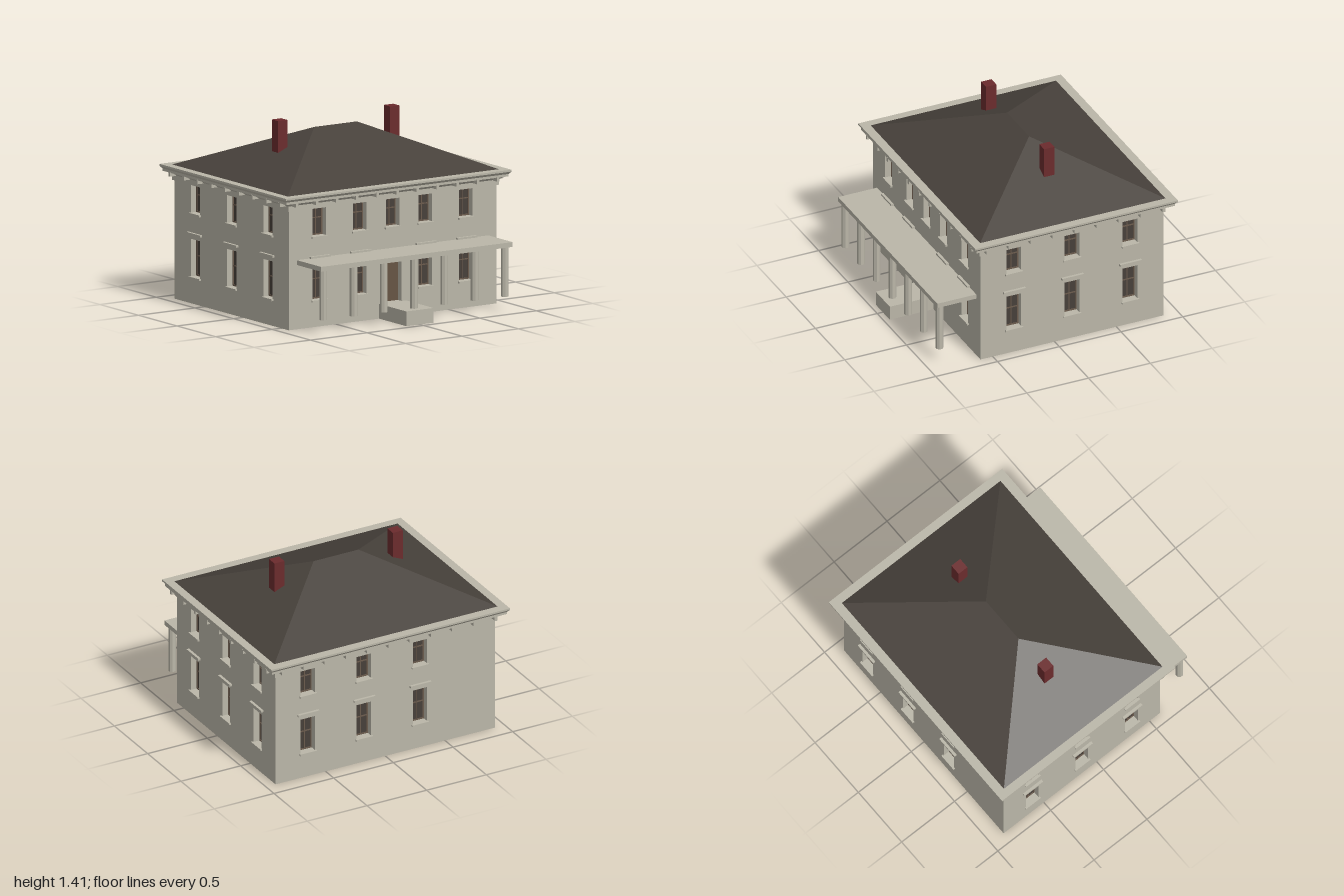
import * as THREE from 'three';

const material = (name, color, side = THREE.FrontSide) => {
  const m = new THREE.MeshStandardMaterial({ color, side });
  m.name = name;
  return m;
};

export function createModel() {
  const stone = material('pale stone', 0xbab6a8, THREE.DoubleSide);
  const slate = material('dark slate', 0x47413b, THREE.DoubleSide);
  const brick = material('red brick', 0x6b2b2d);
  const wood = material('brown door', 0x665443);
  const sash = material('window sash', 0x6a5a4c);
  const glass = material('dark glass', 0x47403a);

  const house = new THREE.Group();
  house.name = 'house';
  const HX = 0.92, HZ = 0.74, CZ = -0.14, REVEAL = 0.06;

  const add = (parent, name, geometry, mat, x = 0, y = 0, z = 0) => {
    const mesh = new THREE.Mesh(geometry, mat);
    mesh.name = name;
    mesh.position.set(x, y, z);
    parent.add(mesh);
    return mesh;
  };
  const box = (parent, name, mat, w, h, d, x, y, z) =>
    add(parent, name, new THREE.BoxGeometry(w, h, d), mat, x, y, z);

  // Rectangle outlines used for walls, reveals and sashes
  const outline = (target, x0, y0, x1, y1) => {
    target.moveTo(x0, y0);
    target.lineTo(x1, y0);
    target.lineTo(x1, y1);
    target.lineTo(x0, y1);
    target.closePath();
    return target;
  };
  const punched = (rect, holes) => {
    const shape = outline(new THREE.Shape(), ...rect);
    for (const h of holes) shape.holes.push(outline(new THREE.Path(), ...h));
    return shape;
  };
  const extrude = (shape, depth) => new THREE.ExtrudeGeometry(shape, { depth, bevelEnabled: false });

  // Recessed lining around an opening
  const lining = (parent, [x0, y0, x1, y1]) => {
    const t = 0.006;
    const shape = punched([x0 - t, y0 - t, x1 + t, y1 + t], [[x0, y0, x1, y1]]);
    add(parent, 'reveal', extrude(shape, REVEAL), stone, 0, 0, -REVEAL - 0.001);
  };

  // Four-light window with sill, and a hood on the ground floor
  const makeWindow = (parent, rect, rail, hooded) => {
    const [x0, y0, x1, y1] = rect;
    const cx = (x0 + x1) / 2, e = 0.01, b = 0.004;
    const g = new THREE.Group();
    g.name = 'window';
    parent.add(g);
    lining(g, rect);
    const lights = [];
    for (const [a, c] of [[x0 + e, cx - b], [cx + b, x1 - e]]) {
      for (const [p, q] of [[y0 + e, rail - b], [rail + b, y1 - e]]) lights.push([a, p, c, q]);
    }
    add(g, 'sash', extrude(punched(rect, lights), 0.006), sash, 0, 0, -REVEAL + 0.006);
    box(g, 'glass', glass, x1 - x0, y1 - y0, 0.006, cx, (y0 + y1) / 2, -REVEAL + 0.003);
    box(g, 'sill', stone, 0.14, 0.014, 0.024, cx, y0 - 0.007, 0.004);
    if (hooded) box(g, 'hood', stone, 0.176, 0.016, 0.026, cx, 0.521, 0.008);
  };

  // One outside wall, drawn facing +z and then turned into place
  const makeWall = (name, half, lower, upper, door) => {
    const g = new THREE.Group();
    g.name = name;
    house.add(g);
    const low = lower.map(x => [x - 0.06, 0.2, x + 0.06, 0.48]);
    const high = upper.map(x => [x - 0.06, 0.675, x + 0.06, 0.885]);
    const doorRect = [-0.08, 0.11, 0.08, 0.44];
    const holes = [...low, ...high];
    if (door) holes.push(doorRect);
    add(g, 'wall', new THREE.ShapeGeometry(punched([-half, 0, half, 0.96], holes)), stone);
    low.forEach(r => makeWindow(g, r, 0.35, true));
    high.forEach(r => makeWindow(g, r, 0.805, false));
    if (door) {
      lining(g, doorRect);
      box(g, 'door', wood, 0.16, 0.33, 0.01, 0, 0.275, -REVEAL + 0.005);
    }
    return g;
  };
  const side = [-0.47, 0, 0.47];
  makeWall('frontWall', HX, [-0.65, -0.29, 0.29, 0.65], [-0.65, -0.29, 0, 0.29, 0.65], true)
    .position.z = CZ + HZ;
  const back = makeWall('backWall', HX, [-0.65, -0.18, 0.29], [-0.65, -0.18, 0.29], false);
  back.position.z = CZ - HZ;
  back.rotation.y = Math.PI;
  for (const s of [-1, 1]) {
    const w = makeWall(s > 0 ? 'leftWall' : 'rightWall', HZ, side, side, false);
    w.position.set(s * HX, 0, CZ);
    w.rotation.y = s * Math.PI / 2;
  }

  // Cornice: a moulding profile (margin from wall, height) carried round the rectangle
  const profile = [[0, 0.885], [0.013, 0.885], [0.013, 0.925], [0.02, 0.932], [0.052, 0.95],
    [0.064, 0.95], [0.064, 0.968], [0.08, 0.986], [0.08, 1], [0, 1]];
  const corners = [[-1, 1], [1, 1], [1, -1], [-1, -1]];
  const pos = [];
  const quad = (a, b, c, d) => pos.push(...a, ...b, ...c, ...a, ...c, ...d);
  const at = ([sx, sz], [m, y]) => [sx * (HX + m), y, CZ + sz * (HZ + m)];
  for (let i = 0; i < 4; i++) {
    const p = corners[i], q = corners[(i + 1) % 4];
    for (let k = 0; k < profile.length - 1; k++) {
      quad(at(p, profile[k]), at(q, profile[k]), at(q, profile[k + 1]), at(p, profile[k + 1]));
    }
  }
  const cornice = new THREE.BufferGeometry();
  cornice.setAttribute('position', new THREE.Float32BufferAttribute(pos, 3));
  cornice.computeVertexNormals();
  add(house, 'cornice', cornice, stone);

  // Brackets under the eaves
  const brackets = new THREE.Group();
  brackets.name = 'brackets';
  house.add(brackets);
  for (const s of [-1, 1]) {
    for (let i = -5; i <= 5; i++) {
      box(brackets, 'bracket', stone, 0.022, 0.034, 0.055, i * 0.178, 0.939, CZ + s * (HZ + 0.038));
    }
    for (let i = -4; i <= 4; i++) {
      box(brackets, 'bracket', stone, 0.055, 0.034, 0.022, s * (HX + 0.038), 0.939, CZ + i * 0.178);
    }
  }

  // Hipped roof: a flat box whose top edge is drawn in to a ridge
  const roof = new THREE.BufferGeometry();
  const [rx, rz, y0, y1, ridge] = [0.935, 0.75, 1.0, 1.318, 0.188];
  const [fl, fr, br, bl] = corners.map(([sx, sz]) => [sx * rx, y0, CZ + sz * rz]);
  const L = [-ridge, y1, CZ], R = [ridge, y1, CZ];
  const faces = [fl, fr, R, fl, R, L, br, bl, L, br, L, R, fr, br, R, bl, fl, L];
  roof.setAttribute('position', new THREE.Float32BufferAttribute(faces.flat(), 3));
  roof.computeVertexNormals();
  add(house, 'roof', roof, slate);

  // Chimneys
  for (const s of [-1, 1]) {
    box(house, 'chimney', brick, 0.083, 0.237, 0.083, s * 0.496, 1.287, -0.138);
  }

  // Porch canopy on seven faceted columns
  const porch = new THREE.Group();
  porch.name = 'porch';
  house.add(porch);
  box(porch, 'canopy', stone, 1.696, 0.036, 0.315, 0, 0.497, 0.7575);
  for (let i = -3; i <= 3; i++) {
    const column = new THREE.CylinderGeometry(0.029, 0.029, 0.37, 8).toNonIndexed();
    column.rotateY(Math.PI / 8);
    column.computeVertexNormals();
    add(porch, 'column', column, stone, i * 0.268, 0.295, 0.877);
  }

  // Hollow entrance landing with bars beneath it
  const landing = new THREE.Group();
  landing.name = 'landing';
  house.add(landing);
  box(landing, 'landingTop', stone, 0.24, 0.012, 0.355, 0, 0.104, 0.7775);
  box(landing, 'landingFront', stone, 0.24, 0.098, 0.008, 0, 0.049, 0.951);
  for (const s of [-1, 1]) box(landing, 'landingSide', stone, 0.008, 0.098, 0.347, s * 0.116, 0.049, 0.7735);
  for (let i = 0; i < 4; i++) {
    box(landing, 'tread', stone, 0.224, 0.012, 0.04, 0, 0.085 - i * 0.018, 0.64 + i * 0.06);
  }
  return house;
}
